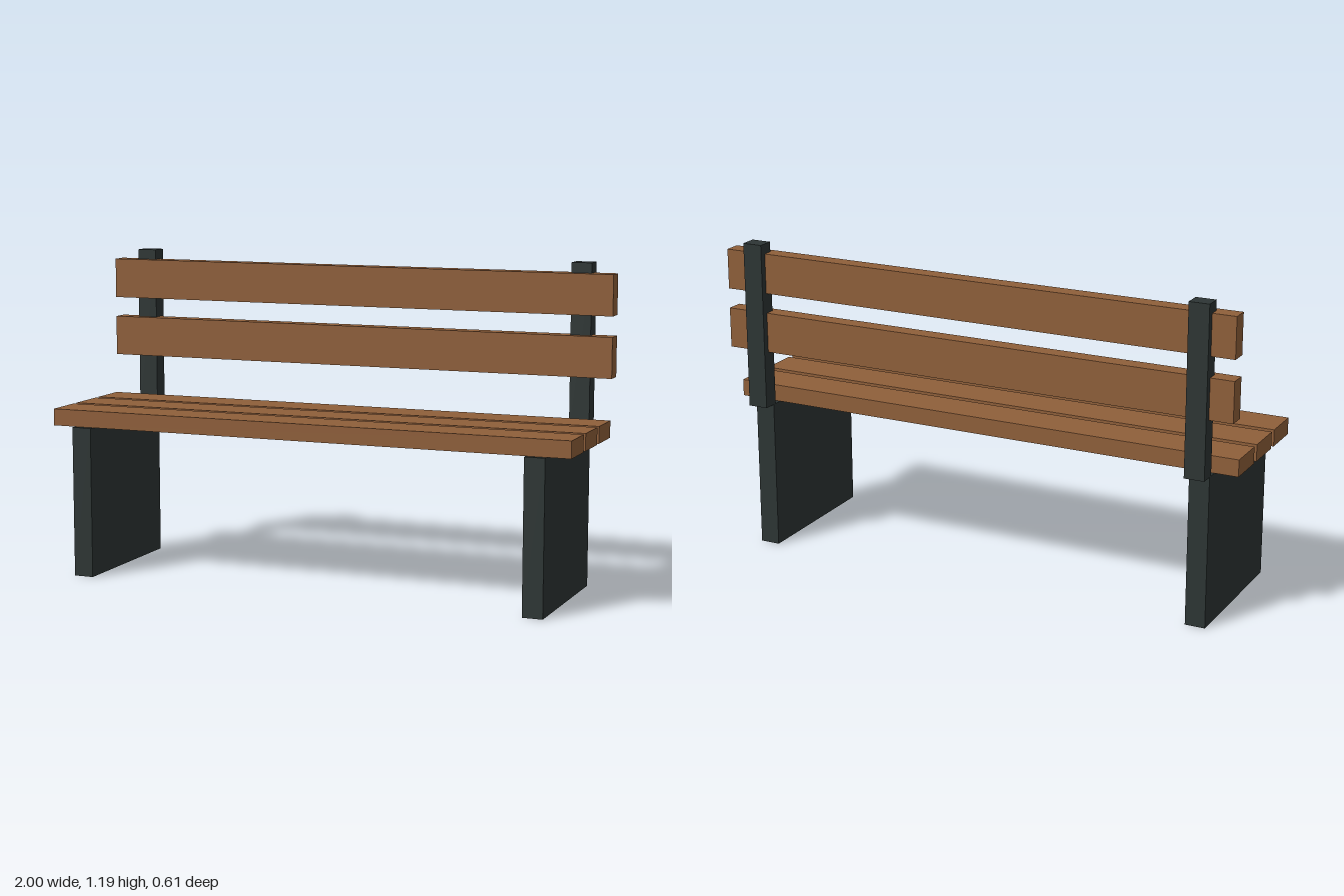
import * as THREE from 'three';

export function createModel() {
  const bench = new THREE.Group();
  bench.name = 'bench';

  const wood = new THREE.MeshStandardMaterial({ color: 0x8f5f3a });
  wood.name = 'brown wood';
  const metal = new THREE.MeshStandardMaterial({ color: 0x2d3534 });
  metal.name = 'dark metal';

  function addBox(name, material, size, position) {
    const mesh = new THREE.Mesh(new THREE.BoxGeometry(...size), material);
    mesh.name = name;
    mesh.position.set(...position);
    bench.add(mesh);
  }

  // Panel leg and backrest post at each end
  for (const [side, x] of [['left', 0.875], ['right', -0.875]]) {
    addBox(`${side}Leg`, metal, [0.075, 0.5625, 0.5625], [x, 0.28125, 0.025]);
    addBox(`${side}BackPost`, metal, [0.075, 0.625, 0.0625], [x, 0.875, -0.274]);
  }

  // Three seat slats, front to back
  for (let i = 0; i < 3; i++) {
    addBox(`seatSlat${i + 1}`, wood, [2, 0.0625, 0.15], [0, 0.59375, 0.214 - i * 0.175]);
  }

  // Two backrest slats, let into the front of the posts
  for (let i = 0; i < 2; i++) {
    addBox(`backSlat${i + 1}`, wood, [2, 0.15, 0.0625], [0, 0.85 + i * 0.225, -0.249]);
  }

  return bench;
}
